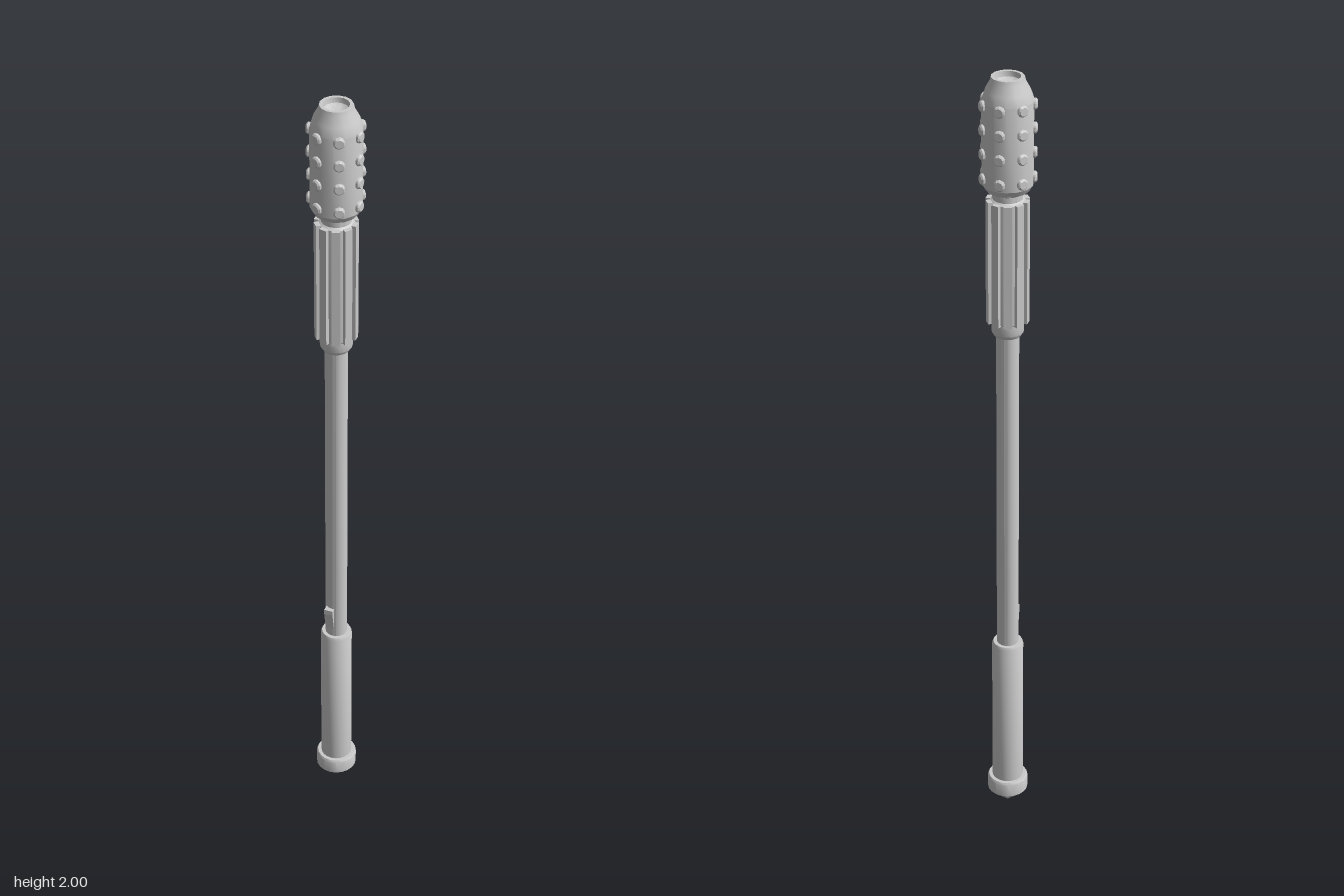
import * as THREE from 'three';
import { toCreasedNormals } from 'three/addons/utils/BufferGeometryUtils.js';

const material = new THREE.MeshStandardMaterial({ color: 0xcccccc });

function add(parent, name, geometry) {
  const mesh = new THREE.Mesh(geometry, material);
  mesh.name = name;
  parent.add(mesh);
  return mesh;
}

// Turned part from [radius, height] pairs, bottom to top
function turned(parent, name, profile, sides, crease = 0.55) {
  const points = profile.map(([r, y]) => new THREE.Vector2(r, y));
  return add(parent, name, toCreasedNormals(new THREE.LatheGeometry(points, sides), crease));
}

export function createModel() {
  const model = new THREE.Group();
  model.name = 'staff';

  // Pointed foot with collar
  turned(model, 'footCollar', [
    [0, 0], [0.034, 0.032], [0.036, 0.042], [0.046, 0.042], [0.051, 0.047],
    [0.051, 0.082], [0.048, 0.087], [0.038, 0.087],
  ], 20);

  // Lower sleeve and shaft
  turned(model, 'lowerSleeve', [
    [0.039, 0.08], [0.039, 0.493], [0.036, 0.5], [0.026, 0.5],
  ], 20);
  turned(model, 'shaft', [[0.027, 0.49], [0.027, 1.37]], 20);

  // Spring catch: a wedge lying on the front of the shaft
  const wedge = new THREE.Shape();
  wedge.moveTo(0.015, 0.525);
  wedge.lineTo(0.027, 0.525);
  wedge.lineTo(0.037, 0.575);
  wedge.lineTo(0.037, 0.588);
  wedge.lineTo(0.015, 0.588);
  const catchGeometry = new THREE.ExtrudeGeometry(wedge, { depth: 0.022, bevelEnabled: false });
  catchGeometry.rotateY(-Math.PI / 2);
  add(model, 'springCatch', catchGeometry).position.x = 0.003;

  // Fluted grip: core with collars at both ends, then raised ribs
  turned(model, 'gripCore', [
    [0.026, 1.362], [0.032, 1.362], [0.038, 1.372], [0.038, 1.398], [0.042, 1.402],
    [0.042, 1.703], [0.035, 1.708], [0.035, 1.722], [0.042, 1.726], [0.042, 1.735],
  ], 20);
  const ribs = new THREE.Group();
  ribs.name = 'gripRibs';
  model.add(ribs);
  const ribCount = 10;
  for (let i = 0; i < ribCount; i++) {
    const angle = ((i + 0.5) / ribCount) * Math.PI * 2;
    const rib = add(ribs, 'gripRib', new THREE.BoxGeometry(0.019, 0.306, 0.014));
    rib.position.set(Math.sin(angle) * 0.043, 1.552, Math.cos(angle) * 0.043);
    rib.rotation.y = angle;
  }

  // Head with a dished top
  const head = turned(model, 'head', [
    [0, 1.73], [0.05, 1.73], [0.0595, 1.745], [0.0595, 1.945], [0.052, 1.968], [0.041, 1.988],
    [0.038, 2], [0.03, 2], [0.028, 1.988], [0.018, 1.982], [0, 1.98],
  ], 14, 0.5);
  head.rotation.y = Math.PI / 14;

  // Four rings of seven studs
  const studs = new THREE.Group();
  studs.name = 'studs';
  model.add(studs);
  const studGeometry = toCreasedNormals(new THREE.LatheGeometry(
    [[0.0135, -0.003], [0.0135, 0.005], [0.01, 0.0085], [0, 0.0085]].map(([r, y]) => new THREE.Vector2(r, y)), 10), 0.7);
  studGeometry.rotateX(Math.PI / 2);
  for (const y of [1.762, 1.822, 1.88, 1.937]) {
    for (let i = 0; i < 7; i++) {
      const angle = Math.PI + (i / 7) * Math.PI * 2;
      const stud = add(studs, 'stud', studGeometry);
      stud.position.set(Math.sin(angle) * 0.058, y, Math.cos(angle) * 0.058);
      stud.rotation.y = angle;
    }
  }
  return model;
}
